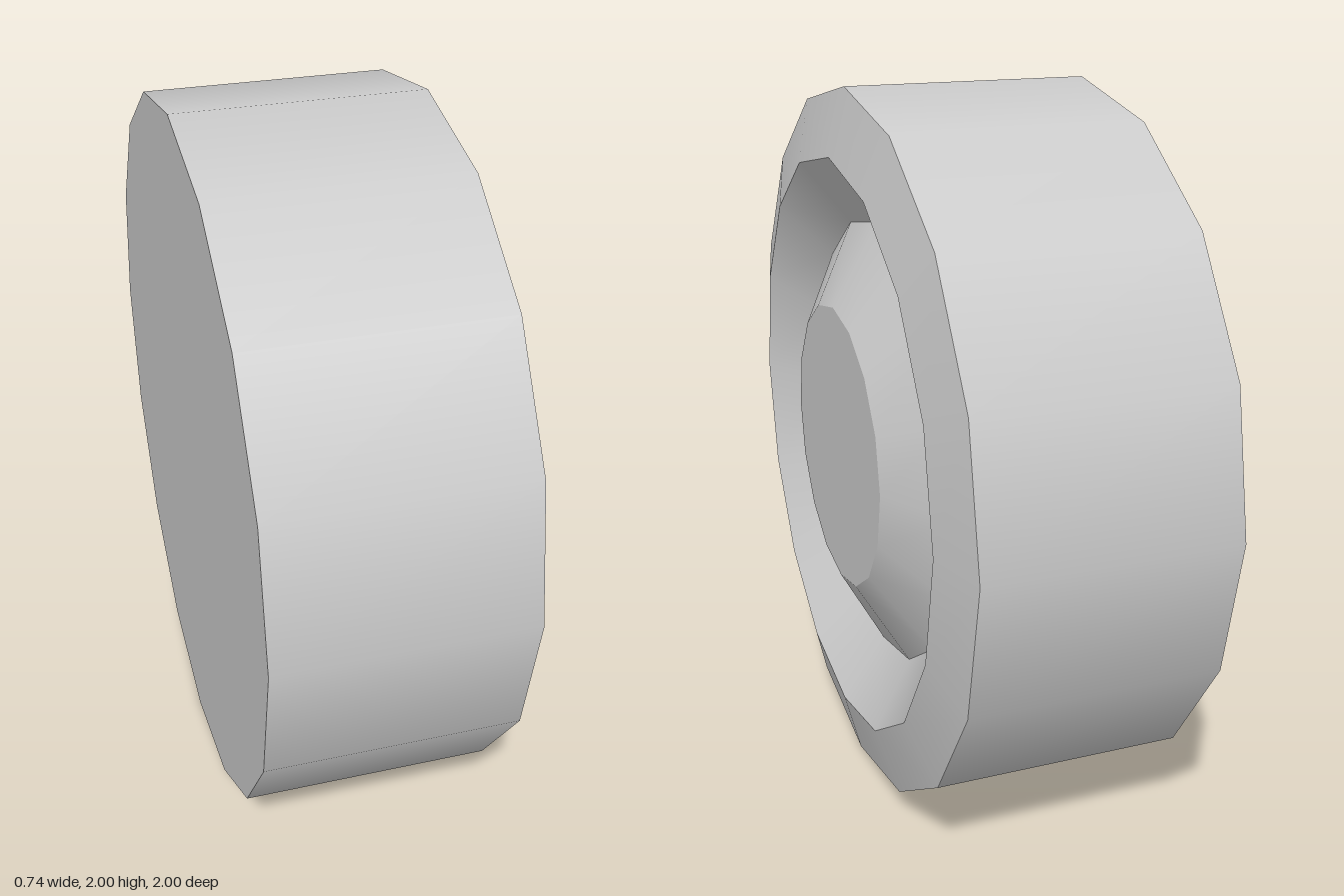
import * as THREE from 'three';

const SIDES = 16;

export function createModel() {
  const group = new THREE.Group();
  group.name = 'wheel';
  const material = new THREE.MeshStandardMaterial({ color: 0xcccccc });

  // Profile rings as [radius, position along axle], from inner face to hub cap
  const rings = [
    [0, -0.3675], [1, -0.3675], [1, 0.32], [0.817, 0.3675],
    [0.635, 0.24], [0.405, 0.3675], [0, 0.3675],
  ];
  const names = ['backFace', 'tread', 'sidewall', 'rimDish', 'hubCone', 'hubCap'];

  // One lathe per band: smooth around the axle, sharp between bands
  names.forEach((name, i) => {
    const points = [rings[i], rings[i + 1]].map(([r, h]) => new THREE.Vector2(r, h));
    const geometry = new THREE.LatheGeometry(points, SIDES);
    geometry.rotateZ(-Math.PI / 2); // axle along x, hub facing +x
    const mesh = new THREE.Mesh(geometry, material);
    mesh.name = name;
    mesh.position.y = 1;
    group.add(mesh);
  });

  return group;
}
